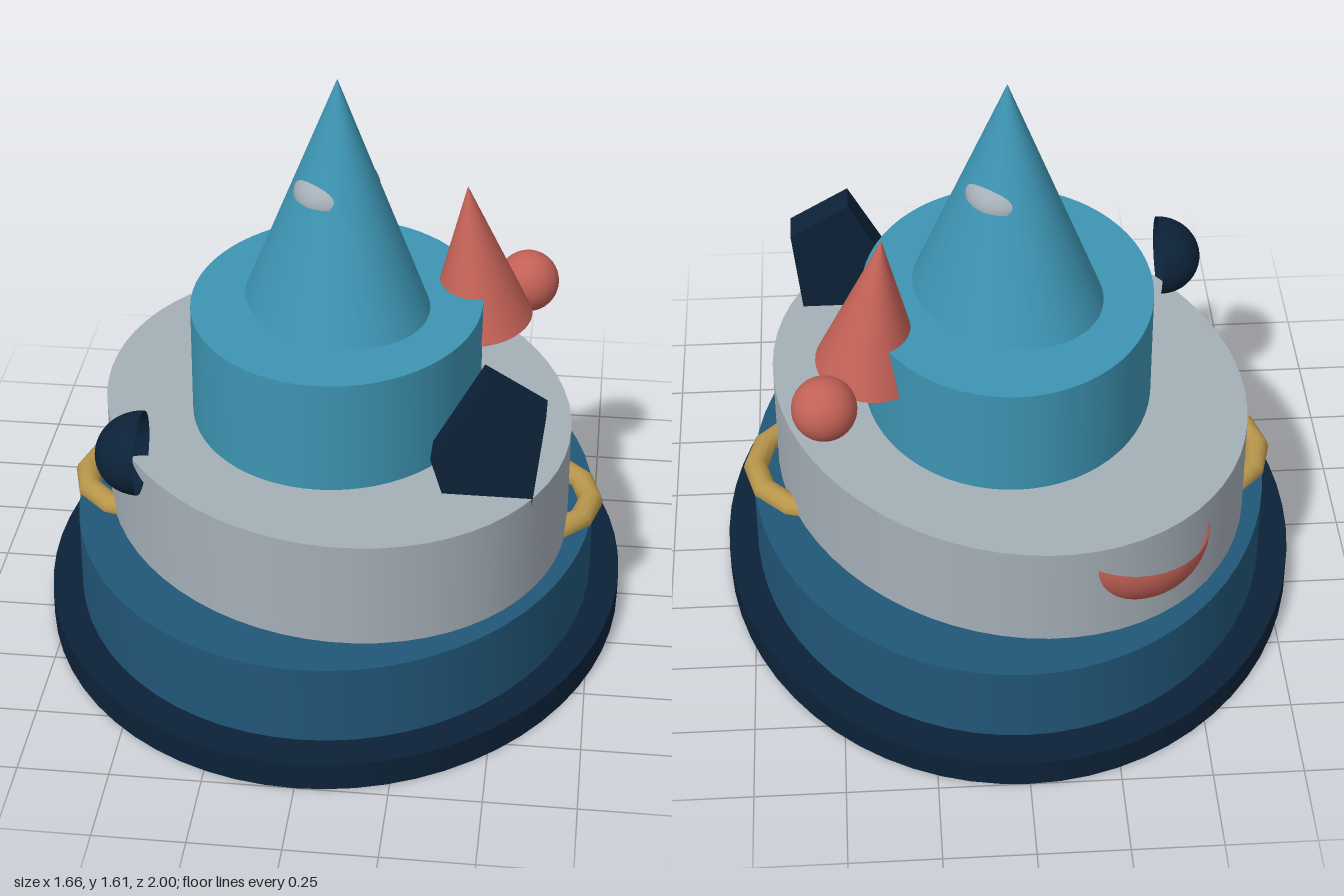
import * as THREE from 'three';

export function createModel() {
  const group = new THREE.Group();
  const material = (name, color, side = THREE.FrontSide) => {
    const m = new THREE.MeshStandardMaterial({ color, side });
    m.name = name;
    return m;
  };
  const navy = material('navy', 0x0c2238, THREE.DoubleSide);
  const blue = material('deep blue', 0x215678);
  const grey = material('pale grey', 0xa5afb7, THREE.DoubleSide);
  const teal = material('teal', 0x3d94b2);
  const red = material('coral red', 0xc26156, THREE.DoubleSide);
  const gold = material('gold', 0xb8964a);

  const add = (name, geometry, mat, x = 0, y = 0, z = 0) => {
    const mesh = new THREE.Mesh(geometry, mat);
    mesh.name = name;
    mesh.position.set(x, y, z);
    group.add(mesh);
    return mesh;
  };

  // Stacked oval tiers: name, material, x radius, z radius, bottom, top, turn
  const tiers = [
    ['basePlate', navy, 0.83, 1.0, 0, 0.08, 0],
    ['lowerTier', blue, 0.745, 0.895, 0.08, 0.31, 0],
    ['middleTier', grey, 0.65, 0.782, 0.31, 0.615, 0.42],
    ['upperTier', teal, 0.41, 0.49, 0.615, 0.94, 0],
  ];
  for (const [name, mat, rx, rz, y0, y1, turn] of tiers) {
    const tier = add(name, new THREE.CylinderGeometry(1, 1, y1 - y0, 64), mat, 0, (y0 + y1) / 2, 0);
    tier.scale.set(rx, 1, rz);
    tier.rotation.y = turn;
  }

  // Oval spire on top
  const spire = add('spire', new THREE.ConeGeometry(1, 0.67, 64), teal, 0, 1.275, 0);
  spire.scale.set(0.249, 1, 0.299);
  spire.rotation.y = 0.58;

  // Half domes; each is open on its flat side
  const dome = () => new THREE.SphereGeometry(1, 40, 16, 0, Math.PI * 2, 0, Math.PI / 2);
  const spireDome = add('spireDome', dome(), grey, 0, 1.28, 0);
  spireDome.scale.set(0.1155, 0.085, 0.139);
  spireDome.rotation.y = -0.33;

  const sideDome = add('sideDome', dome(), navy, -0.483, 0.685, 0.47);
  sideDome.scale.set(0.11, 0.125, 0.13);
  sideDome.rotation.z = Math.PI / 2;

  const backBowl = add('backBowl', dome(), red, -0.305, 0.545, -0.57);
  backBowl.scale.set(0.212, 0.2, 0.212);
  backBowl.rotation.x = Math.PI;

  // Small leaning cone and ball
  const sideCone = add('sideCone', new THREE.ConeGeometry(0.18, 0.415, 40), red, 0.371, 1.024, -0.16);
  sideCone.scale.x = 0.84;
  sideCone.rotation.z = 0.105;
  add('ball', new THREE.SphereGeometry(0.09, 32, 20), red, 0.52, 0.83, -0.37);

  // Five-sided block sunk into the middle tier
  const outline = [[0.44, 0.97], [0.305, 0.72], [0.385, 0.466], [0.578, 0.558], [0.61, 0.87]];
  const shape = new THREE.Shape(outline.map(([x, y]) => new THREE.Vector2(x, y)));
  add('fiveSidedBlock', new THREE.ExtrudeGeometry(shape, { depth: 0.095, bevelEnabled: false }), navy, 0, 0, 0.375);

  // Side rings, partly hidden in the middle tier
  for (const side of [1, -1]) {
    const ring = add(side > 0 ? 'leftRing' : 'rightRing', new THREE.TorusGeometry(0.205, 0.035, 12, 12), gold, side * 0.533, 0.316, 0);
    ring.rotation.x = Math.PI / 2;
  }

  return group;
}
